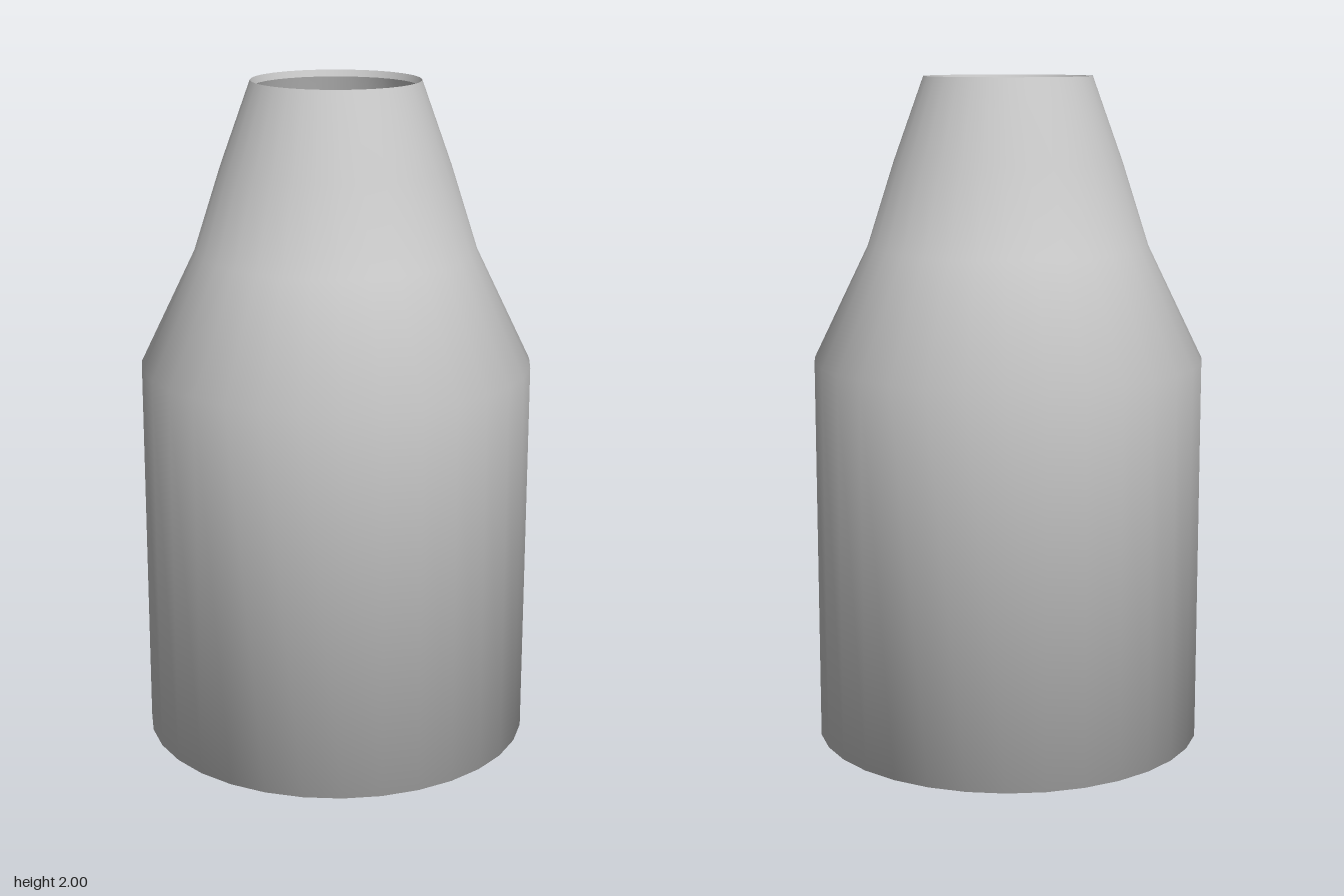
import * as THREE from 'three';

const SIDES = 32;

function turned(name, profile, material) {
  const points = profile.map(([r, y]) => new THREE.Vector2(r, y));
  const mesh = new THREE.Mesh(new THREE.LatheGeometry(points, SIDES), material);
  mesh.name = name;
  return mesh;
}

export function createModel() {
  const model = new THREE.Group();
  model.name = 'bottle';
  const material = new THREE.MeshStandardMaterial({ color: 0xcccccc, side: THREE.DoubleSide });

  // Closed base, straight body, shoulder and tapering neck in one smooth shell
  model.add(turned('bottleBody', [
    [0, 0], [0.585, 0], [0.585, 1.16], [0.42, 1.5], [0.34, 1.75], [0.25, 2],
  ], material));

  // Thin lip turned just inside the open mouth
  model.add(turned('mouthLip', [[0.25, 2], [0.244, 1.98]], material));

  return model;
}
